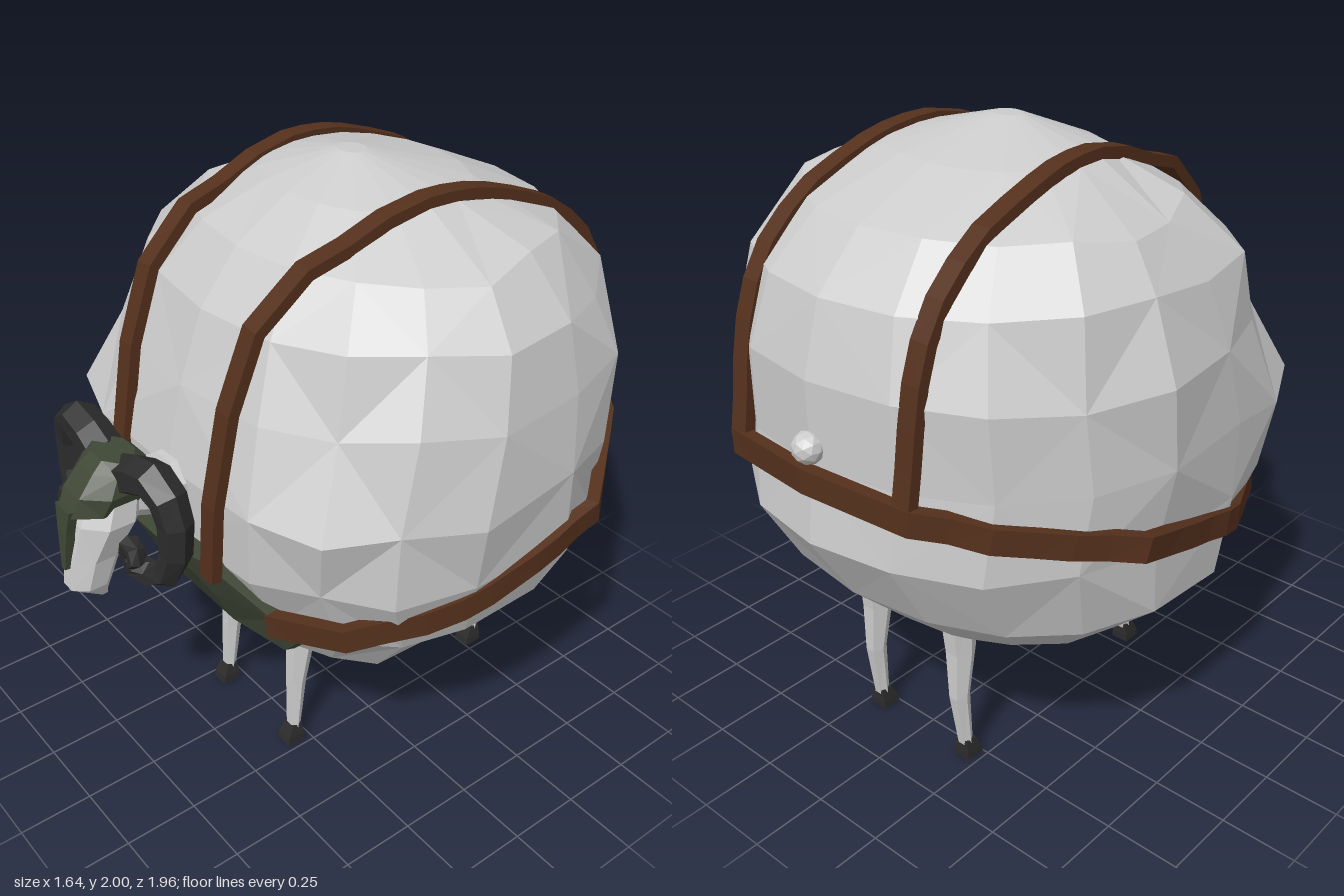
import * as THREE from 'three';

const V = (x, y, z) => new THREE.Vector3(x, y, z);
const GREY = 0xcccccc, BROWN = 0x54301c, GREEN = 0x3f4735, DARK = 0x2c2c2c;

// Skin a stack of closed rings (counter-clockwise about the stacking direction), capped at both ends
function loft(name, rings, color) {
  const pos = [], n = rings[0].length;
  const tri = (...ps) => ps.forEach(p => pos.push(p.x, p.y, p.z));
  const mid = ring => ring.reduce((s, p) => s.add(p), V(0, 0, 0)).divideScalar(n);
  const first = rings[0], last = rings[rings.length - 1], c0 = mid(first), c1 = mid(last);
  for (let i = 0; i < n; i++) {
    const j = (i + 1) % n;
    for (let r = 0; r + 1 < rings.length; r++) {
      const a = rings[r][i], b = rings[r][j], c = rings[r + 1][j], d = rings[r + 1][i];
      if ((i + r) % 2) tri(a, b, c, a, c, d);
      else tri(a, b, d, b, c, d);
    }
    tri(c0, first[j], first[i], c1, last[i], last[j]);
  }
  const geo = new THREE.BufferGeometry();
  geo.setAttribute('position', new THREE.Float32BufferAttribute(pos, 3));
  geo.computeVertexNormals();
  const mesh = new THREE.Mesh(geo, new THREE.MeshStandardMaterial({ color, flatShading: true }));
  mesh.name = name;
  return mesh;
}

// Horizontal ring: height, centre x, half width, back z, front z, boxiness front and back, turn in steps
function ring(y, cx, hw, zb, zf, sides, nf = 2, nb = nf, turn = 0.5) {
  const zc = (zb + zf) / 2, hd = (zf - zb) / 2;
  return Array.from({ length: sides }, (_, i) => {
    const a = (i + turn) / sides * Math.PI * 2, s = Math.sin(a), c = Math.cos(a), e = 2 / (c > 0 ? nf : nb);
    return V(cx + hw * Math.sign(s) * Math.abs(s) ** e, y, zc + hd * Math.sign(c) * Math.abs(c) ** e);
  });
}

// Sweep an oval or box section along a path; size(t) gives half sizes along the normal and sideways
function sweep(name, path, normalAt, size, sides, color) {
  const k = sides === 4 ? Math.SQRT2 : 1;
  return loft(name, path.map((p, i) => {
    const t = path[Math.min(i + 1, path.length - 1)].clone().sub(path[Math.max(i - 1, 0)]).normalize();
    const n = normalAt(p);
    n.addScaledVector(t, -n.dot(t)).normalize();
    const s = t.clone().cross(n), [hn, hs] = size(i / (path.length - 1));
    return Array.from({ length: sides }, (_, j) => {
      const a = (j + 0.5) / sides * Math.PI * 2;
      return p.clone().addScaledVector(n, hn * k * Math.cos(a)).addScaledVector(s, hs * k * Math.sin(a));
    });
  }), color);
}

export function createModel() {
  const model = new THREE.Group();
  let seed = 11;
  const rnd = () => (seed = (seed * 16807) % 2147483647) / 2147483647 * 2 - 1;

  // Round wool body: y, half width, back z, front z, boxiness front and back
  const sections = [
    [0.385, 0.28, -0.44, 0.05, 2.2, 2], [0.475, 0.53, -0.6, 0.36, 2.6, 2.1], [0.68, 0.73, -0.81, 0.475, 2.7, 2.2],
    [0.92, 0.775, -0.955, 0.6, 2.8, 2.1], [1.16, 0.81, -0.925, 0.605, 2.8, 2.1], [1.42, 0.79, -0.925, 0.54, 2.5, 2.1],
    [1.64, 0.735, -0.86, 0.455, 2.3, 2], [1.8, 0.61, -0.7, 0.325, 2.1, 2], [1.915, 0.36, -0.44, 0.14, 2, 2],
    [1.995, 0.05, -0.14, -0.06, 2, 2]];
  // Bulges and hollows in the wool: x, y, z, push
  const lumps = [[-0.52, 1.15, 0.52, 0.07], [0.52, 1.1, 0.5, 0.02], [0.52, 1.5, 0.4, -0.03],
    [0.82, 1.15, 0.08, 0.03], [-0.74, 1.3, 0.18, -0.03], [-0.5, 1.55, 0.4, -0.02]];
  const body = loft('woolBody', sections.map(([y, hw, zb, zf, nf, nb]) => {
    const pts = ring(y, 0, hw, zb, zf, 18, nf, nb, 0);
    pts.forEach(p => {
      const rough = 0.025 * THREE.MathUtils.smoothstep(Math.abs(p.x), 0.3, 0.6);
      let push = rnd() * rough;
      for (const [x, ly, z, h] of lumps) push += h * Math.exp(-p.distanceToSquared(V(x, ly, z)) / 0.03);
      p.addScaledVector(V(p.x, 0, p.z + 0.17).normalize(), push);
      p.y += rnd() * rough;
    });
    return pts;
  }), GREY);
  model.add(body);
  body.updateMatrixWorld(true);

  // Lay a strap path on the wool, lifting it wherever the wool bulges above it
  const caster = new THREE.Raycaster();
  const drape = (points, normalAt) => points.flatMap((p, i) => {
    const steps = i + 1 < points.length ? 3 : 1;
    return Array.from({ length: steps }, (_, k) => {
      const q = k ? p.clone().lerp(points[i + 1], k / steps) : p.clone();
      const n = normalAt(q).normalize();
      caster.set(q.clone().addScaledVector(n, 1), n.clone().negate());
      const hit = caster.intersectObject(body)[0];
      return hit ? q.addScaledVector(n, Math.max(0, 1.008 - hit.distance)) : q;
    });
  });

  // Two straps over the back: z, y, x
  const over = [[0.63, 0.9, 0.25], [0.61, 1.15, 0.25], [0.55, 1.45, 0.26], [0.46, 1.68, 0.27], [0.3, 1.82, 0.29],
    [-0.1, 1.93, 0.32], [-0.35, 1.89, 0.33], [-0.65, 1.74, 0.335], [-0.84, 1.48, 0.34], [-0.9, 1.13, 0.34]];
  const overNormal = p => V(0, p.y - 1.1, p.z + 0.15);
  for (const s of [-1, 1]) {
    const path = drape(over.map(([z, y, x]) => V(s * x, y, z)), overNormal);
    model.add(sweep(s > 0 ? 'leftBackStrap' : 'rightBackStrap', path, overNormal, () => [0.018, 0.032], 4, BROWN));
  }

  // Belt round the body, rising to the rear: x, y, z
  const half = [[0.37, 0.745, 0.51], [0.6, 0.78, 0.4], [0.75, 0.84, 0.08], [0.775, 0.91, -0.18],
    [0.79, 0.985, -0.43], [0.6, 1.05, -0.68], [0.36, 1.11, -0.9]];
  const beltNormal = p => V(p.x, 0, p.z + 0.15);
  const beltPoints = [...half.map(p => V(...p)), V(0, 1.13, -0.95), ...half.map(([x, y, z]) => V(-x, y, z)).reverse()];
  model.add(sweep('belt', drape(beltPoints, beltNormal), beltNormal, () => [0.02, 0.04], 4, BROWN));

  // Chest plate, bowed forward along its top edge
  const plate = [[0.6, 0.38, 0.45, 0.42], [0.63, 0.395, 0.51, 0.47], [0.77, 0.395, 0.58, 0.51], [0.95, 0.22, 0.68, 0.64]];
  model.add(loft('chestPlate', plate.map(([y, w, zMid, zSide]) => [
    V(w * 0.45, y, zMid), V(w, y, zSide), V(w, y, zSide - 0.07),
    V(-w, y, zSide - 0.07), V(-w, y, zSide), V(-w * 0.45, y, zMid)]), GREEN));

  // Legs and hooves
  for (const s of [-1, 1]) for (const front of [true, false]) {
    const z = front ? 0.3 : -0.545, top = front ? 0.25 : -0.555, x = s * 0.197;
    const name = (front ? 'front' : 'back') + (s > 0 ? 'Left' : 'Right');
    model.add(loft(name + 'Leg', [
      ring(0.05, x, 0.026, z - 0.025, z + 0.02, 6), ring(0.25, x - s * 0.004, 0.033, z - 0.055, z + 0.015, 6),
      ring(0.42, x - s * 0.008, 0.048, top - 0.045, top + 0.055, 6),
      ring(0.58, x - s * 0.012, 0.058, top - 0.06, top + 0.07, 6)], GREY));
    model.add(loft(name + 'Hoof', [
      ring(0, x, 0.038, z - 0.03, z + 0.05, 4, 4), ring(0.025, x, 0.037, z - 0.03, z + 0.045, 4, 4),
      ring(0.07, x, 0.028, z - 0.025, z + 0.022, 4, 4)], DARK));
  }

  // Neck, head and tail
  model.add(sweep('neck', [V(0, 1.1, 0.5), V(0, 1.11, 0.63), V(0, 1.14, 0.76)], () => V(0, 1, 0),
    t => [0.11 - 0.03 * t, 0.12 - 0.04 * t], 8, GREY));
  model.add(loft('head', [
    ring(0.83, 0, 0.042, 0.85, 0.9, 8), ring(0.88, 0, 0.065, 0.83, 0.98, 8), ring(0.98, 0, 0.08, 0.79, 0.965, 8),
    ring(1.1, 0, 0.12, 0.72, 0.94, 8), ring(1.22, 0, 0.1, 0.7, 0.88, 8)], GREY));
  const tail = new THREE.Mesh(new THREE.IcosahedronGeometry(0.05, 1),
    new THREE.MeshStandardMaterial({ color: GREY, flatShading: true }));
  tail.name = 'tail';
  tail.position.set(0, 1.22, -0.93);
  model.add(tail);

  // Helmet with a nose guard
  model.add(loft('helmet', [
    ring(1.14, 0, 0.1, 0.69, 0.965, 8), ring(1.2, 0, 0.12, 0.68, 0.935, 8),
    ring(1.26, 0, 0.105, 0.69, 0.88, 8), ring(1.29, 0, 0.085, 0.72, 0.84, 8)], GREEN));
  model.add(sweep('noseGuard', [V(0, 1.16, 0.945), V(0, 1.08, 0.955), V(0, 0.95, 0.965)], () => V(0, 0, 1),
    t => [0.015, 0.04 - 0.03 * t], 4, GREEN));

  // Curled horns: x, y, z
  const curl = [[0.07, 1.235, 0.77], [0.14, 1.27, 0.77], [0.21, 1.29, 0.77], [0.27, 1.255, 0.765], [0.292, 1.18, 0.76],
    [0.29, 1.08, 0.765], [0.26, 1.0, 0.78], [0.2, 0.97, 0.8], [0.155, 0.985, 0.82], [0.142, 1.035, 0.83],
    [0.165, 1.075, 0.84], [0.2, 1.07, 0.845], [0.21, 1.04, 0.85], [0.19, 1.025, 0.855]];
  for (const s of [-1, 1]) {
    model.add(sweep(s > 0 ? 'leftHorn' : 'rightHorn', curl.map(([x, y, z]) => V(s * x, y, z)), () => V(0, 0, 1),
      t => [0.068 - 0.045 * t, 0.066 - 0.05 * t], 6, DARK));
  }
  return model;
}
